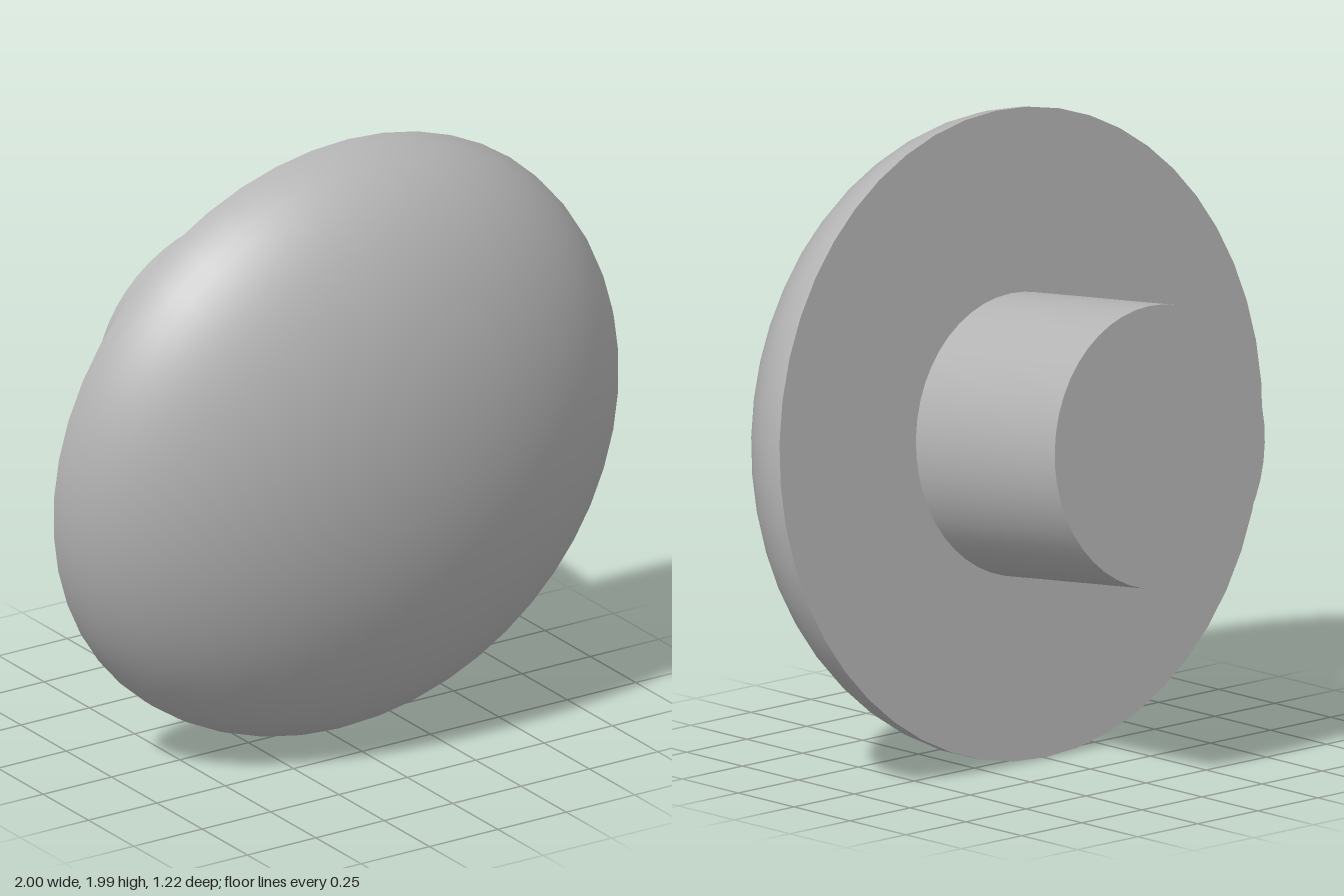
import * as THREE from 'three';

export function createModel() {
  const grey = new THREE.MeshStandardMaterial({ color: 0xb4b4b4 });
  grey.name = 'plain grey';

  const domeDepth = 0.542, stemRadius = 0.435, stemLength = 0.625;
  const model = new THREE.Group();
  model.name = 'mushroomKnob';

  // everything shares one axis, tipped slightly downward at the front
  const knob = new THREE.Group();
  knob.name = 'tiltedKnob';
  knob.position.set(0, 0.997, 0.06);
  knob.rotation.x = 0.11;
  model.add(knob);

  const add = (name, geometry) => {
    const mesh = new THREE.Mesh(geometry, grey);
    mesh.name = name;
    knob.add(mesh);
    return mesh;
  };

  // half-ellipsoid head facing forward
  add('dome', new THREE.SphereGeometry(1, 48, 20, 0, Math.PI * 2, 0, Math.PI / 2)
    .scale(1, domeDepth, 1).rotateX(Math.PI / 2));

  // flat back of the head, open where the stem joins
  add('domeBack', new THREE.RingGeometry(stemRadius, 1, 48).rotateY(Math.PI));

  // round stem and its flat end
  add('stem', new THREE.CylinderGeometry(stemRadius, stemRadius, stemLength, 48, 1, true)
    .rotateX(Math.PI / 2)).position.z = -stemLength / 2;
  add('stemEnd', new THREE.CircleGeometry(stemRadius, 48).rotateY(Math.PI))
    .position.z = -stemLength;

  return model;
}
